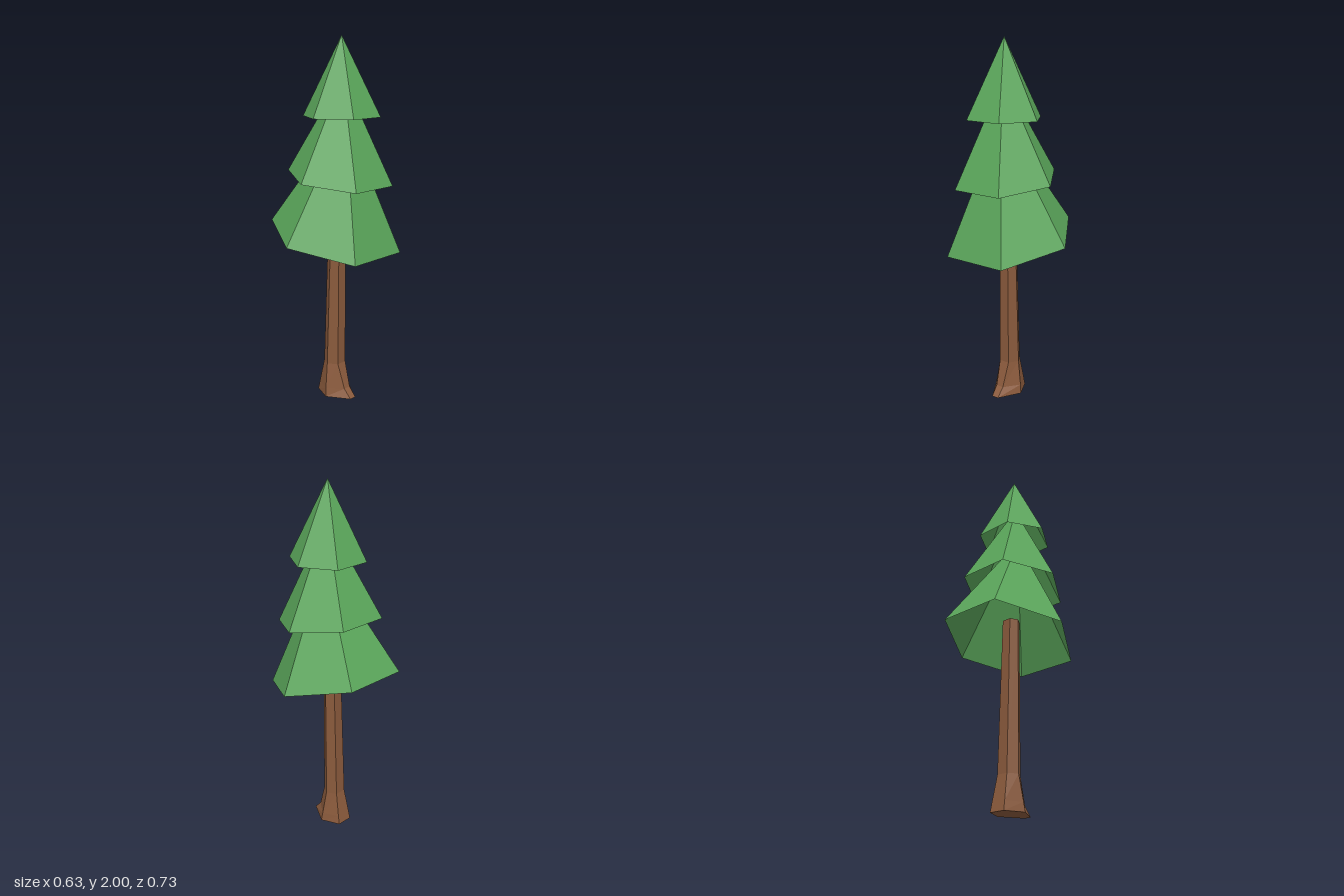
import * as THREE from 'three';

const leafMaterial = new THREE.MeshStandardMaterial({ color: 0x5aa55a, flatShading: true, side: THREE.DoubleSide });
const barkMaterial = new THREE.MeshStandardMaterial({ color: 0x8a5a3c, flatShading: true });

// Open six-sided cone with a tilted rim and an offset tip
function makeTier(name, { radius, rimX, rimY, tilt, tipX, tipY }) {
  const geometry = new THREE.ConeGeometry(1, 1, 6, 1, true);
  const p = geometry.attributes.position;
  for (let i = 0; i < p.count; i++) {
    if (p.getY(i) > 0) {
      p.setXYZ(i, tipX, tipY, 0);
    } else {
      const dx = p.getX(i) * radius;
      p.setXYZ(i, rimX + dx, rimY - tilt * dx, p.getZ(i) * radius);
    }
  }
  geometry.computeVertexNormals();
  const mesh = new THREE.Mesh(geometry, leafMaterial);
  mesh.name = name;
  return mesh;
}

// Six-sided cross-section, mirrored front to back:
// right side (rx, rz), middle (mx, mz), left side (lx, lz)
function ring(y, [rx, rz], [mx, mz], [lx, lz]) {
  return [[rx, y, rz], [rx, y, -rz], [mx, y, -mz], [lx, y, -lz], [lx, y, lz], [mx, y, mz]];
}

// Joins the cross-sections from bottom to top and closes both ends
function loft(rings) {
  const n = rings[0].length;
  const index = [];
  for (let r = 0; r < rings.length - 1; r++) {
    for (let i = 0; i < n; i++) {
      const a = r * n + i, b = r * n + (i + 1) % n;
      index.push(a, b, b + n, a, b + n, a + n);
    }
  }
  const top = (rings.length - 1) * n;
  for (let i = 1; i < n - 1; i++) {
    index.push(0, i + 1, i, top, top + i, top + i + 1);
  }
  const geometry = new THREE.BufferGeometry();
  geometry.setAttribute('position', new THREE.Float32BufferAttribute(rings.flat(2), 3));
  geometry.setIndex(index);
  const flat = geometry.toNonIndexed();
  flat.computeVertexNormals();
  return flat;
}

export function createModel() {
  const tree = new THREE.Group();
  tree.name = 'pineTree';

  // Leaning trunk, flared at the foot with one root towards +x
  const trunk = new THREE.Mesh(loft([
    ring(0, [0.14, 0.02], [0.015, 0.092], [-0.09, 0.045]),
    ring(0.05, [0.095, 0.022], [0.01, 0.085], [-0.08, 0.042]),
    ring(0.19, [0.052, 0.03], [0, 0.063], [-0.053, 0.032]),
    ring(1.05, [0.056, 0.026], [0.018, 0.049], [-0.023, 0.026]),
  ]), barkMaterial);
  trunk.name = 'trunk';
  tree.add(trunk);

  // Three overlapping tiers of foliage
  tree.add(
    makeTier('lowerFoliage', { radius: 0.363, rimX: 0, rimY: 0.93, tilt: 0.23, tipX: 0.075, tipY: 1.59 }),
    makeTier('middleFoliage', { radius: 0.288, rimX: 0.035, rimY: 1.257, tilt: 0.134, tipX: 0.055, tipY: 1.8 }),
    makeTier('upperFoliage', { radius: 0.21, rimX: 0.047, rimY: 1.585, tilt: 0, tipX: 0.047, tipY: 2 }),
  );
  return tree;
}
